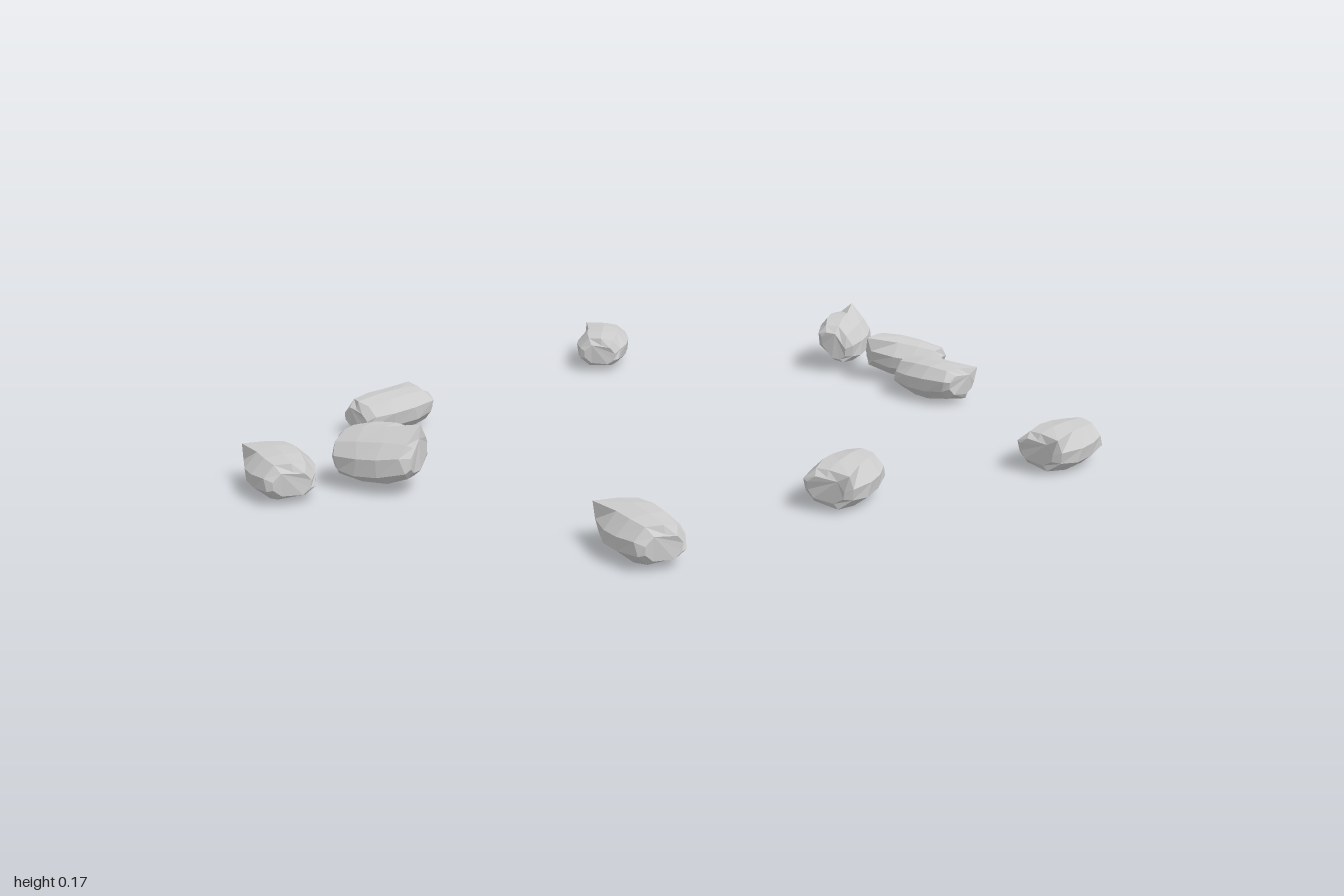
import * as THREE from 'three';

// One chipped stone: faceted cross-sections lofted along x, both ends capped.
function stoneGeometry() {
  // cross-section as [z, y]
  const section = [
    [-0.046, 0.049], [0.002, 0.054], [0.048, 0.047], [0.079, 0.014],
    [0.074, -0.022], [0.044, -0.05], [-0.04, -0.054], [-0.076, -0.024], [-0.08, 0.012],
  ];
  // stations as [x, width scale, height scale, lift, twist]
  const stations = [
    [-0.113, 0.6, 0.55, -0.003, 0.1],
    [-0.098, 0.79, 0.82, 0.002, 0.04],
    [-0.035, 0.98, 0.98, 0, 0],
    [0.03, 1.0, 1.0, 0, -0.03],
    [0.095, 0.81, 0.84, 0.003, -0.06],
    [0.112, 0.62, 0.56, 0.004, -0.1],
  ];
  const n = section.length;
  const positions = [];
  const index = [];
  stations.forEach(([x, w, h, lift, twist], s) => {
    section.forEach(([z, y], i) => {
      const zz = z * w, yy = y * h;
      const chip = 0.005 * Math.sin(i * 2.3 + s * 1.7); // uneven ring edges
      positions.push(
        x + chip * (s === 0 || s === 5 ? 0.5 : 1.6),
        yy * Math.cos(twist) - zz * Math.sin(twist) + lift,
        zz * Math.cos(twist) + yy * Math.sin(twist),
      );
    });
  });
  // raised sharp corner at one end
  const corner = 4 * n * 3;
  positions[corner] = 0.114;
  positions[corner + 1] = 0.046;
  positions[corner + 2] = -0.062;

  for (let s = 0; s < stations.length - 1; s++) {
    for (let i = 0; i < n; i++) {
      const a = s * n + i, b = s * n + (i + 1) % n;
      index.push(a, b, a + n, b, b + n, a + n);
    }
  }
  // end caps
  const last = (stations.length - 1) * n;
  for (let i = 1; i < n - 1; i++) {
    index.push(0, i + 1, i);
    index.push(last, last + i, last + i + 1);
  }
  const geometry = new THREE.BufferGeometry();
  geometry.setAttribute('position', new THREE.Float32BufferAttribute(positions, 3));
  geometry.setIndex(index);
  const flat = geometry.toNonIndexed();
  flat.computeVertexNormals();
  return flat;
}

export function createModel() {
  const group = new THREE.Group();
  group.name = 'stoneRing';
  const geometry = stoneGeometry();
  const material = new THREE.MeshStandardMaterial({ color: 0xcccccc, flatShading: true });

  // x, y, z, then yaw, roll and pitch in degrees
  const placements = [
    [0.12, 0.093, -0.88, 90, 45, 3],
    [0.34, 0.074, -0.77, 180, 0, 8],
    [0.46, 0.058, -0.6, -33, 0, 0],
    [-0.61, 0.058, -0.66, 107, 0, 0],
    [0.897, 0.058, -0.073, -115, 0, 0],
    [-0.89, 0.058, 0.2, 66, 0, 0],
    [0.44, 0.058, 0.37, -100, 0, 0],
    [-0.67, 0.093, 0.642, 0, 45, 3],
    [-0.887, 0.058, 0.75, 137, 0, 0],
    [0.102, 0.058, 0.866, 138, 0, 0],
  ];
  placements.forEach(([x, y, z, yaw, roll, pitch], i) => {
    const stone = new THREE.Mesh(geometry, material);
    stone.name = `stone${i + 1}`;
    stone.position.set(x, y, z);
    const rad = THREE.MathUtils.degToRad;
    stone.rotation.set(rad(roll), rad(yaw), rad(pitch), 'YXZ');
    group.add(stone);
  });
  return group;
}
